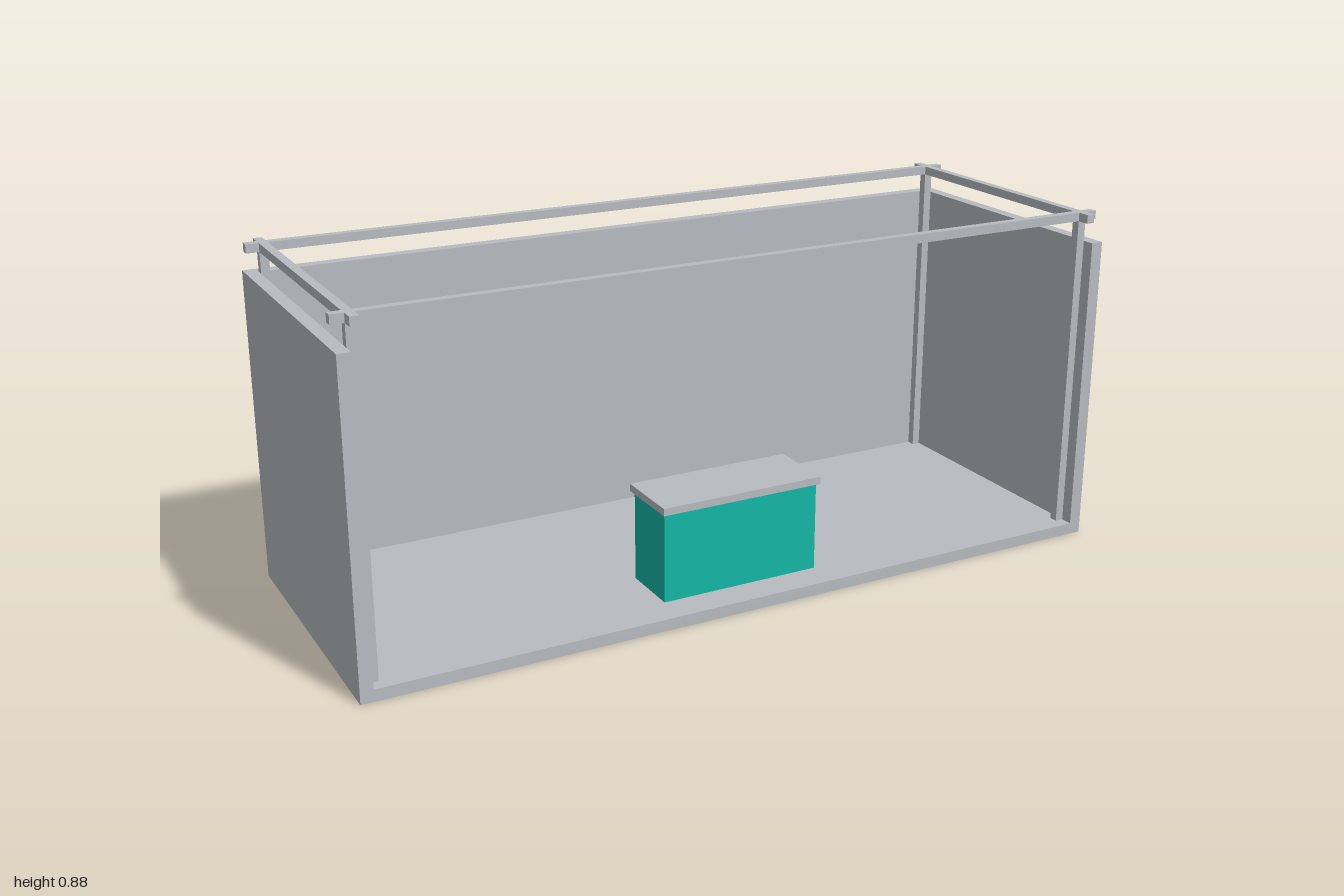
import * as THREE from 'three';

const grey = new THREE.MeshStandardMaterial({ color: 0xb8bcc0 });
grey.name = 'lightGrey';
const teal = new THREE.MeshStandardMaterial({ color: 0x14b8a6 });
teal.name = 'teal';

// Box given by its lower and upper limits on each axis
function block(parent, name, material, [x0, x1], [y0, y1], [z0, z1]) {
  const mesh = new THREE.Mesh(new THREE.BoxGeometry(x1 - x0, y1 - y0, z1 - z0), material);
  mesh.position.set((x0 + x1) / 2, (y0 + y1) / 2, (z0 + z1) / 2);
  mesh.name = name;
  parent.add(mesh);
}

export function createModel() {
  const model = new THREE.Group();
  model.name = 'exhibitionBooth';
  const X = 1, Z = 0.374, T = 0.032, P = 0.022; // half sizes, wall and post thickness
  const wallTop = 0.8, top = 0.875, floorTop = 0.03;
  const span = (side, inner, outer) => (side > 0 ? [inner, outer] : [-outer, -inner]);

  // Floor and three walls, open at the front
  const shell = new THREE.Group();
  shell.name = 'shell';
  block(shell, 'floor', grey, [-X, X], [0, floorTop], [-Z, Z]);
  block(shell, 'backWall', grey, [-X + T, X - T], [floorTop, wallTop], [-Z, -Z + T]);
  for (const s of [-1, 1]) {
    block(shell, s > 0 ? 'leftWall' : 'rightWall', grey, span(s, X - T, X), [floorTop, wallTop], [-Z, Z]);
  }

  // Corner posts carrying crossed rails that run past the corners
  const frame = new THREE.Group();
  frame.name = 'frame';
  const px = [X - T - P, X - T], pz = [Z - T - P, Z - T];
  for (const s of [-1, 1]) {
    block(frame, s > 0 ? 'frontRail' : 'backRail', grey, [-X, X], [top - P, top], span(s, ...pz));
    block(frame, s > 0 ? 'leftRail' : 'rightRail', grey, span(s, ...px), [top - P, top], [-Z, Z]);
    for (const t of [-1, 1]) {
      block(frame, 'cornerPost', grey, span(s, ...px), [floorTop, top - P], span(t, ...pz));
    }
  }

  // Reception counter with an overhanging top
  const counter = new THREE.Group();
  counter.name = 'counter';
  block(counter, 'counterBody', teal, [-0.212, 0.212], [floorTop, 0.26], [0.133, 0.29]);
  block(counter, 'counterTop', grey, [-0.218, 0.218], [0.26, 0.279], [0.12, 0.3]);

  model.add(shell, frame, counter);
  return model;
}
